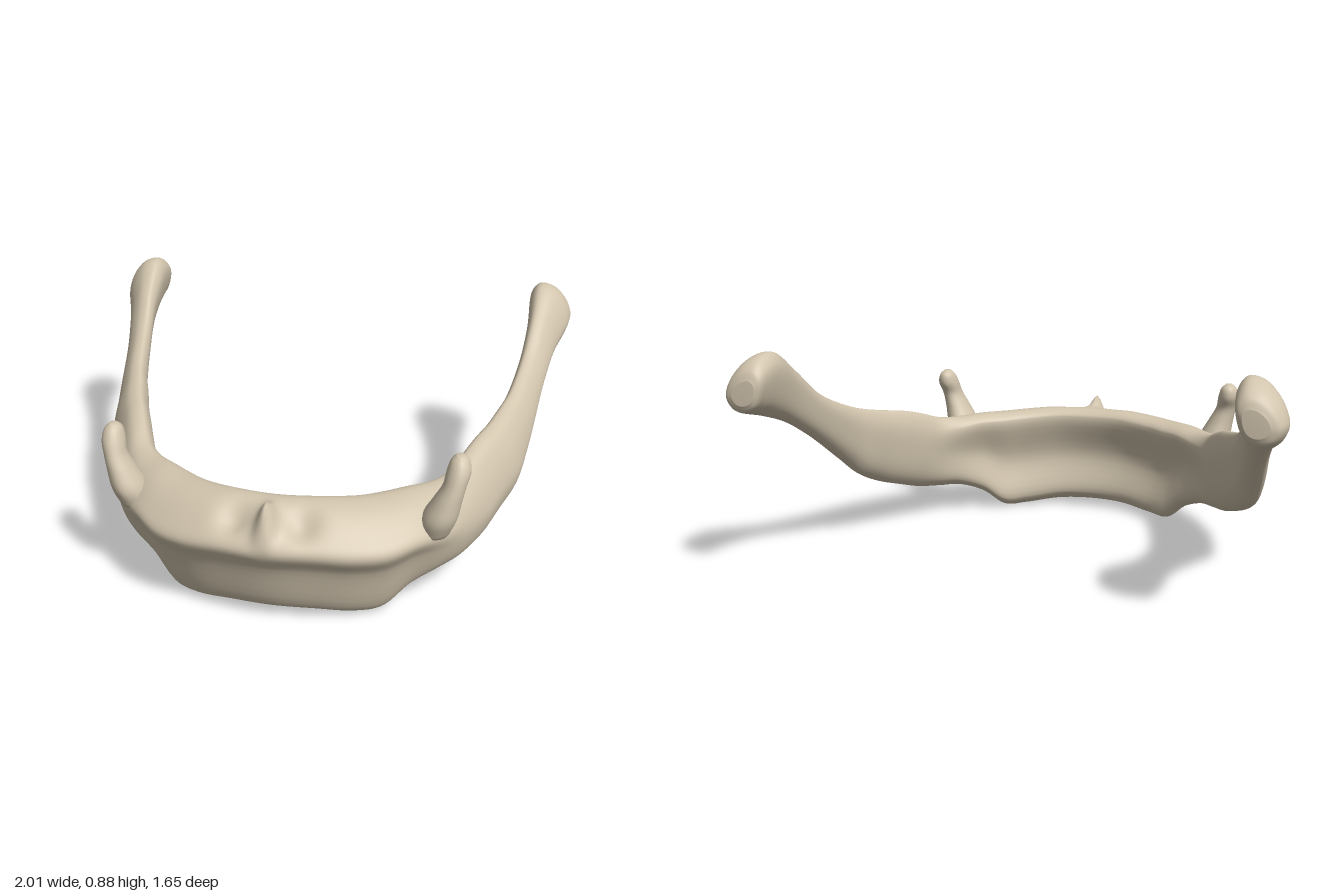
import * as THREE from 'three';

const V = (x, y, z) => new THREE.Vector3(x, y, z);

// Smooth skin through a row of closed control rings, capped at both ends
function loft(rings, perSpan, around, deform) {
  const columns = rings[0].map((_, j) => new THREE.CatmullRomCurve3(rings.map((r) => r[j])));
  const steps = (rings.length - 1) * perSpan;
  const pos = [], index = [];
  const ends = [];
  for (let i = 0; i <= steps; i++) {
    const ring = new THREE.CatmullRomCurve3(columns.map((c) => c.getPoint(i / steps)), true);
    const mid = V(0, 0, 0);
    for (let j = 0; j < around; j++) {
      const p = ring.getPoint(j / around);
      if (deform) deform(p);
      mid.addScaledVector(p, 1 / around);
      pos.push(p.x, p.y, p.z);
    }
    if (i === 0 || i === steps) ends.push(mid);
  }
  for (let i = 0; i < steps; i++) {
    for (let j = 0; j < around; j++) {
      const k = (j + 1) % around;
      const a = i * around + j, b = i * around + k;
      index.push(a, b, a + around, b, b + around, a + around);
    }
  }
  const first = pos.length / 3, last = first + 1;
  ends.forEach((m) => pos.push(m.x, m.y, m.z));
  for (let j = 0; j < around; j++) {
    const k = (j + 1) % around;
    index.push(first, k, j, last, steps * around + j, steps * around + k);
  }
  const g = new THREE.BufferGeometry();
  g.setAttribute('position', new THREE.Float32BufferAttribute(pos, 3));
  g.setIndex(index);
  g.computeVertexNormals();
  return g;
}

// Cross-sections as (inner to outer, bottom to top) fractions
const bodyShape = [[0, 0.93], [0.15, 1], [0.5, 0.98], [0.85, 0.83], [1, 0.7],
  [0.82, 0.5], [0.55, 0.06], [0.33, 0], [0.12, 0.1], [0.22, 0.5]];
const hornShape = [[0.02, 0.82], [0.2, 1], [0.5, 0.97], [0.76, 0.8], [0.95, 0.55],
  [1, 0.33], [0.82, 0.07], [0.5, 0], [0.2, 0.14], [0.03, 0.5]];

// Centre to tip: inner x, inner z, outer x, outer z, bottom, top, blend to horn shape
const stations = [
  [0, 0.57, 0, 0.82, 0.035, 0.465, 0],
  [0.14, 0.555, 0.17, 0.8, 0.03, 0.465, 0],
  [0.28, 0.5, 0.32, 0.765, 0.01, 0.455, 0],
  [0.36, 0.445, 0.43, 0.715, 0.01, 0.45, 0],
  [0.44, 0.385, 0.53, 0.63, 0.085, 0.45, 0.15],
  [0.52, 0.31, 0.62, 0.53, 0.125, 0.445, 0.5],
  [0.575, 0.24, 0.68, 0.42, 0.135, 0.455, 0.8],
  [0.61, 0.17, 0.75, 0.26, 0.155, 0.49, 1],
  [0.65, 0.08, 0.8, 0.13, 0.19, 0.52, 1],
  [0.69, -0.01, 0.85, 0, 0.23, 0.54, 1],
  [0.73, -0.12, 0.87, -0.11, 0.285, 0.565, 1],
  [0.76, -0.2, 0.885, -0.2, 0.355, 0.59, 1],
  [0.805, -0.4, 0.915, -0.4, 0.505, 0.68, 1],
  [0.825, -0.55, 0.95, -0.55, 0.595, 0.8, 1],
  [0.825, -0.68, 0.995, -0.68, 0.645, 0.885, 1],
  [0.83, -0.77, 1, -0.77, 0.67, 0.87, 1],
  [0.84, -0.815, 0.98, -0.815, 0.685, 0.835, 1],
  [0.86, -0.83, 0.95, -0.83, 0.71, 0.8, 1],
];

function section([ix, iz, ox, oz, bottom, top, blend], side) {
  return bodyShape.map((b, j) => {
    const u = THREE.MathUtils.lerp(b[0], hornShape[j][0], blend);
    const v = THREE.MathUtils.lerp(b[1], hornShape[j][1], blend);
    return V(side * (ix + (ox - ix) * u), bottom + (top - bottom) * v, iz + (oz - iz) * u);
  });
}

// Median tubercle with a shallow hollow on each side of it
function sculptFront(p) {
  if (Math.abs(p.x) > 0.35 || p.y < 0.3) return;
  const upper = THREE.MathUtils.smoothstep(p.y, 0.3, 0.4);
  const ridge = Math.exp(-((p.x / 0.03) ** 2)) * Math.exp(-(((p.z - 0.76) / 0.06) ** 2));
  const hollow = Math.exp(-(((Math.abs(p.x) - 0.12) / 0.06) ** 2)) * Math.exp(-(((p.z - 0.72) / 0.05) ** 2));
  p.y += upper * (0.085 * ridge - 0.04 * hollow);
}

// Small upright horn: centre x, y, z and radius, base to tip
const lesserStations = [
  [0.565, 0.33, 0.51, 0.07], [0.585, 0.4, 0.525, 0.077], [0.61, 0.47, 0.53, 0.062],
  [0.632, 0.53, 0.525, 0.05], [0.643, 0.58, 0.505, 0.051], [0.645, 0.618, 0.495, 0.038],
  [0.645, 0.637, 0.495, 0.016],
];

function lesserHorn(side) {
  const rings = lesserStations.map(([x, y, z, r]) =>
    Array.from({ length: 8 }, (_, j) => {
      const a = (j / 8) * Math.PI * 2;
      return V(side * x + r * 0.85 * Math.sin(a), y, z + r * 1.08 * Math.cos(a));
    }));
  return loft(rings, 5, 24);
}

export function createModel() {
  const group = new THREE.Group();
  const bone = new THREE.MeshStandardMaterial({ color: 0xd2c5ae });
  bone.name = 'bone';

  const add = (name, geometry) => {
    const mesh = new THREE.Mesh(geometry, bone);
    mesh.name = name;
    group.add(mesh);
  };

  // Body and both long horns in one continuous arch
  const half = stations.map((s) => section(s, 1));
  const mirrored = stations.slice(1).reverse().map((s) => section(s, -1));
  add('bodyAndGreaterHorns', loft([...mirrored, ...half], 12, 60, sculptFront));

  add('leftLesserHorn', lesserHorn(1));
  add('rightLesserHorn', lesserHorn(-1));
  return group;
}
